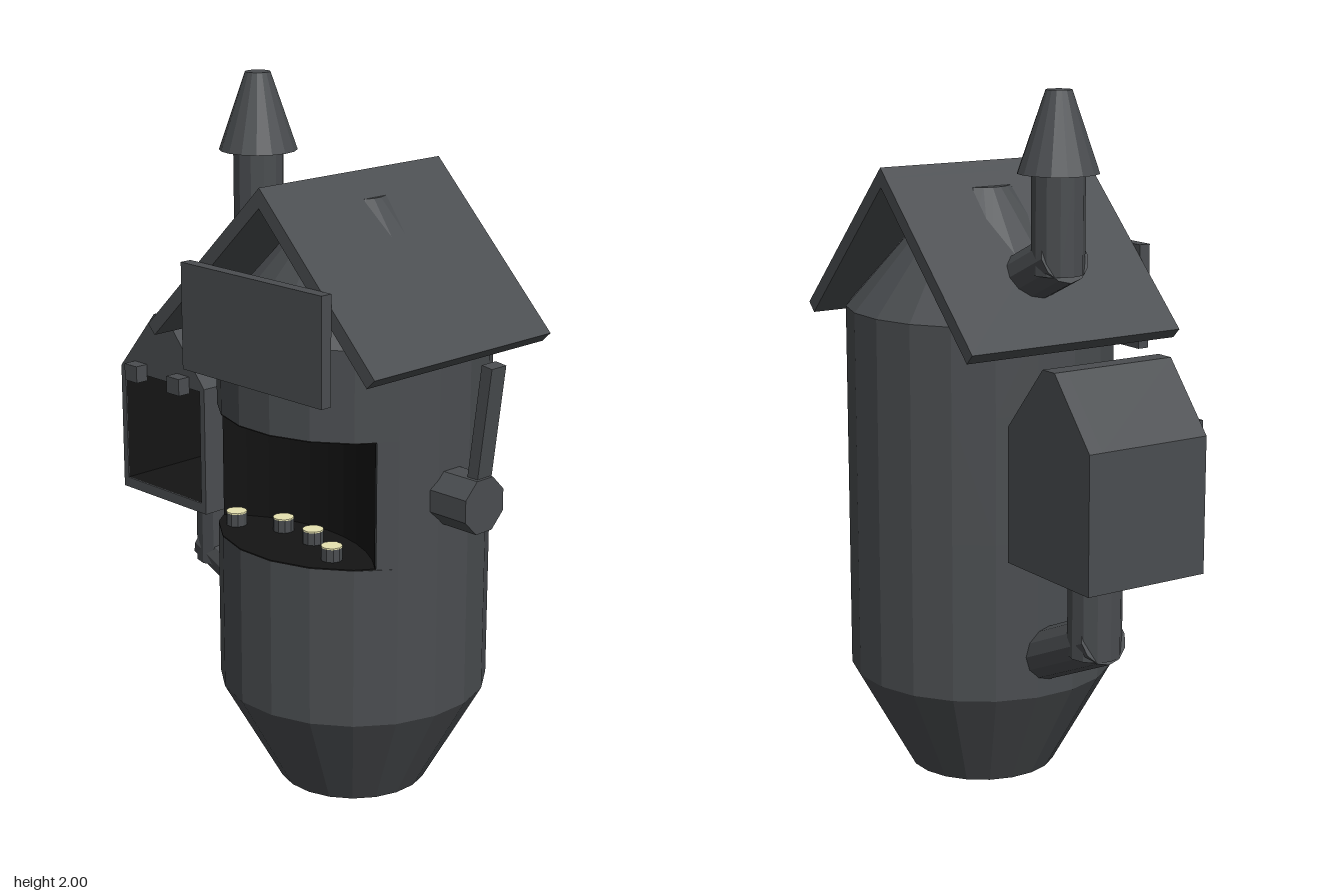
import * as THREE from 'three';

const mat = (color, side = THREE.FrontSide) =>
  new THREE.MeshStandardMaterial({ color, flatShading: true, side });
const steel = mat(0x4a4d50);
const dark = mat(0x141414, THREE.DoubleSide);
const pale = mat(0xe6e2b0);

const CX = 0.01, CZ = 0.13, R = 0.385; // silo axis and radius
const SIDES = 20, STEP = Math.PI / 10;

export function createModel() {
  const model = new THREE.Group();

  function add(name, geometry, x = 0, y = 0, z = 0, material = steel) {
    const mesh = new THREE.Mesh(geometry, material);
    mesh.name = name;
    mesh.position.set(x, y, z);
    model.add(mesh);
    return mesh;
  }

  // Faceted ring of the silo between two heights
  function silo(name, y0, y1, r0, r1) {
    const g = new THREE.CylinderGeometry(r1, r0, y1 - y0, SIDES).rotateY(STEP / 2);
    return add(name, g, CX, (y0 + y1) / 2, CZ);
  }

  // Round pipe between two points in a plane of constant x
  function pipe(name, x, [z0, y0], [z1, y1], r, sides = 12) {
    const a = new THREE.Vector3(x, y0, z0), b = new THREE.Vector3(x, y1, z1);
    const dir = b.clone().sub(a);
    const mesh = add(name, new THREE.CylinderGeometry(r, r, dir.length(), sides));
    mesh.position.copy(a).add(b).multiplyScalar(0.5);
    mesh.quaternion.setFromUnitVectors(new THREE.Vector3(0, 1, 0), dir.normalize());
    return mesh;
  }

  // Horizontal slab from a plan outline centred on the silo axis
  function plan(name, points, y, height, material) {
    const g = new THREE.ExtrudeGeometry(new THREE.Shape(points), { depth: height, bevelEnabled: false });
    return add(name, g.rotateX(-Math.PI / 2), CX, y, CZ, material);
  }

  // Silo body with a recessed control bay on its right side
  const y0 = 0.76, y1 = 1.12;
  silo('hopperBase', 0, 0.305, 0.215, R);
  silo('lowerBody', 0.305, y0, R, R);
  silo('upperBody', y1, 1.37, R, R);
  silo('coneTop', 1.37, 1.71, R, 0.085);

  const rim = k => new THREE.Vector2(R * Math.cos((k + 0.5) * STEP), R * Math.sin((k + 0.5) * STEP));
  const bayR = 0.445, bayX = -0.545, half = Math.asin(0.306 / bayR);
  const arc = [];
  for (let i = 0; i <= 10; i++) {
    const a = half * (1 - i / 5);
    arc.push(new THREE.Vector2(bayX + bayR * Math.cos(a), bayR * Math.sin(a)));
  }
  const wall = [], bay = [...arc].reverse();
  for (let k = -7; k <= 6; k++) wall.push(rim(k));
  for (let k = 7; k <= 12; k++) bay.push(rim(k));
  plan('middleBody', [...wall, ...arc], y0, y1 - y0, steel);
  plan('bayFloor', bay, y0, 0.004, dark);
  plan('bayCeiling', bay, y1 - 0.004, 0.004, dark);
  add('bayWall', new THREE.CylinderGeometry(bayR - 0.003, bayR - 0.003, y1 - y0, 10, 1, true,
    Math.PI / 2 - half, 2 * half), CX + bayX, (y0 + y1) / 2, CZ, dark);

  // Buttons on the bay floor
  for (const [x, z] of [[-0.24, -0.09], [-0.18, 0.04], [-0.19, 0.17], [-0.245, 0.3]]) {
    add('button', new THREE.CylinderGeometry(0.03, 0.03, 0.036, 10), x, 0.782, z);
    add('buttonTop', new THREE.CylinderGeometry(0.03, 0.03, 0.004, 10), x, 0.802, z, pale);
  }

  // Raised hatch above the bay
  add('hatch', new THREE.BoxGeometry(0.035, 0.3, 0.545), -0.373, 1.39, 0.137);

  // Two sloping roof slabs; the front one overlaps the rear one at the ridge
  function roofSlab(name, points) {
    const g = new THREE.ExtrudeGeometry(
      new THREE.Shape(points.map(([z, y]) => new THREE.Vector2(-z, y))),
      { depth: 0.685, bevelEnabled: false });
    add(name, g.rotateY(Math.PI / 2), -0.355, 0, 0);
  }
  roofSlab('frontRoof', [[0.14, 1.775], [0.112, 1.747], [0.537, 1.315], [0.565, 1.342]]);
  roofSlab('rearRoof', [[0.112, 1.747], [-0.323, 1.327], [-0.296, 1.3], [0.139, 1.72]]);

  // Chimney
  pipe('chimneyElbow', 0.025, [0, 1.42], [-0.305, 1.56], 0.075);
  pipe('chimneyPipe', 0.025, [-0.275, 1.51], [-0.275, 1.79], 0.073);
  add('chimneyCap', new THREE.CylinderGeometry(0.036, 0.112, 0.22, 16), 0.025, 1.89, -0.275);

  // Rear feed box with a sloping top and an opening in its right side
  const outline = () => new THREE.Shape(
    [[0.28, 0.73], [0.655, 0.73], [0.655, 1.11], [0.497, 1.295], [0.443, 1.295], [0.28, 1.11]]
      .map(p => new THREE.Vector2(...p)));
  const holed = outline();
  holed.holes.push(new THREE.Path(
    [[0.3, 0.76], [0.3, 1.1], [0.635, 1.1], [0.635, 0.76]].map(p => new THREE.Vector2(...p))));
  const section = (shape, depth) =>
    new THREE.ExtrudeGeometry(shape, { depth, bevelEnabled: false }).rotateY(Math.PI / 2);
  add('feedBoxShell', section(holed, 0.34), -0.19, 0, 0);
  add('feedBoxBack', section(outline(), 0.04), 0.15, 0, 0);
  add('feedBoxLining', new THREE.BoxGeometry(0.337, 0.337, 0.332), -0.02, 0.93, -0.4675,
    mat(0x141414, THREE.BackSide));
  for (const z of [-0.5625, -0.3725]) {
    add('hinge', new THREE.BoxGeometry(0.04, 0.05, 0.055), -0.21, 1.11, z);
  }

  // Feed pipe from the box into the silo
  pipe('feedPipe', 0.03, [-0.465, 0.49], [-0.465, 0.75], 0.075);
  pipe('feedElbow', 0.03, [-0.1, 0.365], [-0.505, 0.545], 0.072);

  // Front lever on an eight-sided hub
  const hub = new THREE.CylinderGeometry(0.081, 0.081, 0.14, 8).rotateY(Math.PI / 8).rotateX(Math.PI / 2);
  add('leverHub', hub, 0, 0.94, 0.56);
  const lever = add('lever', new THREE.BoxGeometry(0.056, 0.34, 0.036), 0.008, 1.16, 0.622);
  lever.rotation.x = 0.13;

  return model;
}
